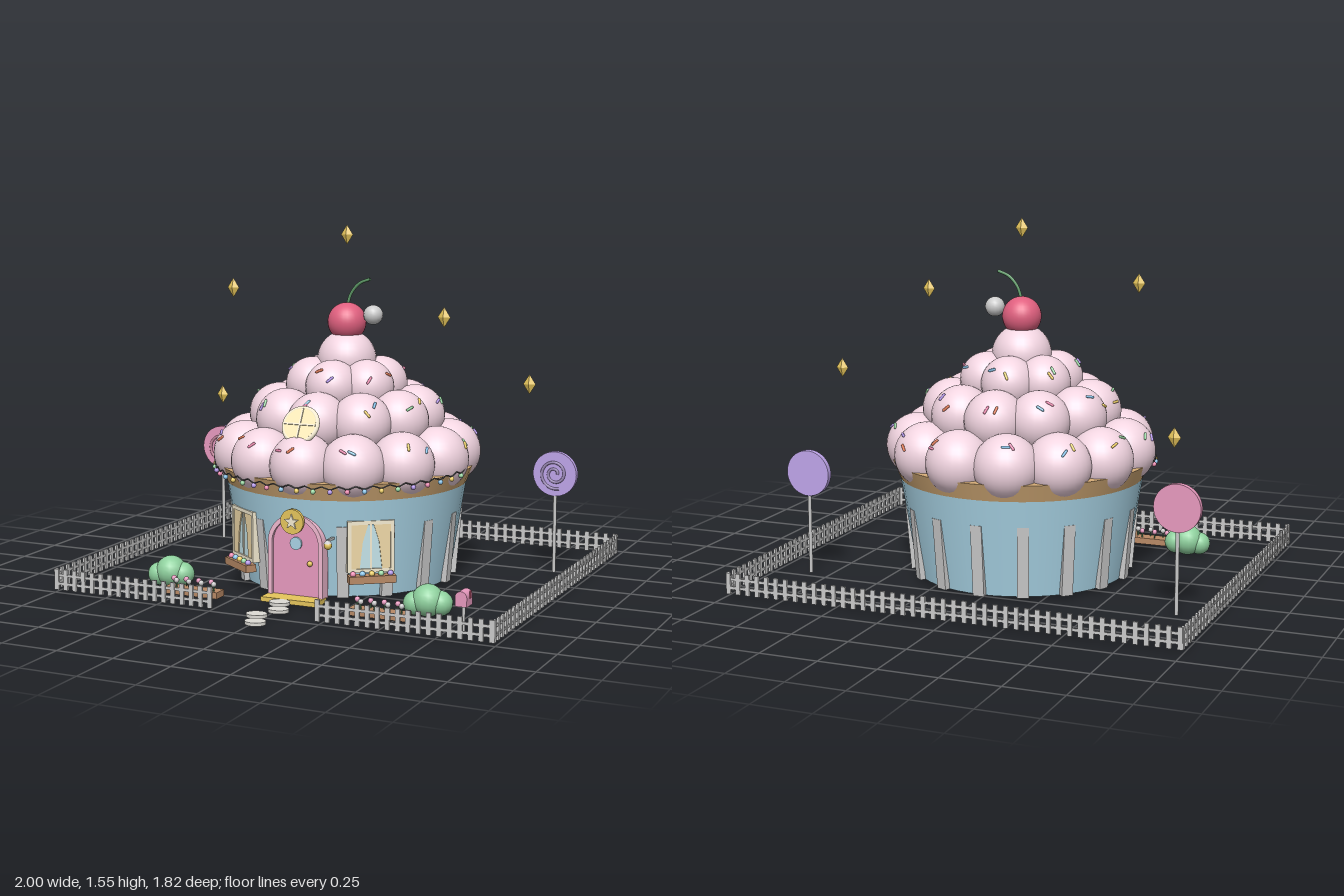
import * as THREE from 'three';

const CZ = -0.07; // the house axis sits slightly behind the centre
const mats = {};
const mat = (c) => (mats[c] ??= new THREE.MeshStandardMaterial({ color: c, side: THREE.DoubleSide }));
const C = { grey: 0xcccccc, wall: 0xa9d4e6, frost: 0xf2d5e1, biscuit: 0xd6ad78, pink: 0xe89abf, red: 0xe0607f,
  green: 0x8fd19e, stem: 0x5f9a68, gold: 0xe6c55c, cream: 0xf5ecd2, wood: 0xb98a66, lilac: 0xbfa5ea, stone: 0xdedcd6 };
const SWEETS = [0xf28fb5, 0x8fc9f0, 0xf3d36b, 0x9fdca8, 0xb99cf0, 0xe8825f];

function add(parent, name, geo, color, x = 0, y = 0, z = 0) {
  const m = new THREE.Mesh(geo, mat(color));
  m.name = name;
  m.position.set(x, y, z);
  parent.add(m);
  return m;
}
function group(parent, name, x = 0, y = 0, z = 0, ry = 0) {
  const g = new THREE.Group();
  g.name = name;
  g.position.set(x, y, z);
  g.rotation.y = ry;
  parent.add(g);
  return g;
}
// group on the round wall, facing outwards
const onWall = (p, name, a, r, y) => group(p, name, Math.sin(a) * r, y, CZ + Math.cos(a) * r, a);
const box = (w, h, d) => new THREE.BoxGeometry(w, h, d);
const ball = (r, n = 16) => new THREE.SphereGeometry(r, n, Math.ceil(n * 0.7));
const cyl = (a, b, h, n = 16) => new THREE.CylinderGeometry(a, b, h, n);
const disc = (r, h, n = 32) => cyl(r, r, h, n).rotateX(Math.PI / 2);
const extrude = (s, d) => new THREE.ExtrudeGeometry(s, { depth: d, bevelEnabled: false, curveSegments: 16 });
const tube = (pts, r, n = 24) => new THREE.TubeGeometry(new THREE.CatmullRomCurve3(pts), n, r, 8);

let seed = 11;
const rand = () => (seed = (seed * 16807) % 2147483647) / 2147483647;

function arch(w, h) { // arched outline, base at y = 0
  const s = new THREE.Shape();
  s.moveTo(-w, 0);
  s.lineTo(w, 0);
  s.lineTo(w, h - w);
  s.absarc(0, h - w, w, 0, Math.PI, false);
  s.closePath();
  return s;
}

function buildBody(root) {
  const g = group(root, 'cupcakeBody');
  add(g, 'wall', cyl(0.53, 0.46, 0.43, 48), C.wall, 0, 0.235, CZ);
  add(g, 'biscuitRim', cyl(0.56, 0.53, 0.075, 48), C.biscuit, 0, 0.48, CZ);
  for (let i = 1; i < 16; i++) {
    const pleat = onWall(g, 'pleat', (i * Math.PI) / 8, 0.486, 0.175);
    add(pleat, 'pleatStrip', box(0.05, 0.31, 0.024), C.grey).rotation.x = 0.085;
  }
}

function buildFrosting(root) {
  const g = group(root, 'frosting', 0, 0, CZ);
  add(g, 'frostingCore', cyl(0.12, 0.44, 0.42, 24), C.frost, 0, 0.72);
  // [count, ring radius, height, ball radius, turn]
  const rings = [[13, 0.45, 0.57, 0.14, 0], [10, 0.3, 0.73, 0.132, 0], [6, 0.15, 0.865, 0.118, 0], [1, 0, 0.97, 0.13, 0]];
  const balls = [];
  for (const [n, R, y, r, t] of rings) for (let i = 0; i < n; i++) {
    const a = t + (i * 2 * Math.PI) / n;
    balls.push([add(g, 'frostingPuff', ball(r, 28), C.frost, Math.sin(a) * R, y, Math.cos(a) * R).position, r, a]);
  }
  // sprinkles lying on the puffs
  for (let i = 0; i < 58; i++) {
    const [p, r, a] = balls[i % 29];
    const b = a + (rand() - 0.5) * 1.1, e = 0.35 + rand() * 0.5;
    const n = new THREE.Vector3(Math.sin(b) * Math.cos(e), Math.sin(e), Math.cos(b) * Math.cos(e));
    const s = add(g, 'sprinkle', new THREE.CapsuleGeometry(0.006, 0.026, 3, 6), SWEETS[i % 6]);
    s.position.copy(p).addScaledVector(n, r + 0.002);
    const along = new THREE.Vector3(rand() - 0.5, rand() - 0.5, rand() - 0.5).cross(n).normalize();
    s.quaternion.setFromUnitVectors(new THREE.Vector3(0, 1, 0), along);
  }
  // cherry on top
  add(g, 'cherry', ball(0.085, 28), C.red, 0, 1.135);
  add(g, 'cherryStem', tube([[0, 1.2], [0.02, 1.26], [0.06, 1.305], [0.11, 1.325]].map(([x, y]) => new THREE.Vector3(x, y, 0)), 0.007), C.stem);
  add(g, 'smokePuff', ball(0.043), C.grey, 0.125, 1.17);
  // round attic window
  const w = group(g, 'atticWindow', 0, 0.745, 0.465);
  w.rotation.x = -0.5;
  add(w, 'atticPane', disc(0.072, 0.02), 0xf7e9b5);
  add(w, 'atticFrame', new THREE.TorusGeometry(0.075, 0.011, 8, 32), C.cream);
  add(w, 'atticBar', box(0.145, 0.007, 0.03), C.cream);
  add(w, 'atticBar', box(0.007, 0.145, 0.03), C.cream);
}

function buildLights(root) {
  const g = group(root, 'stringLights', 0, 0, CZ);
  const at = (t) => {
    const a = (t - 0.5) * 2.95;
    return new THREE.Vector3(Math.sin(a) * 0.582, 0.505 + 0.025 * (2 * t - 1) ** 2 + 0.006 * Math.cos(t * 48 * Math.PI), Math.cos(a) * 0.582);
  };
  add(g, 'lightWire', tube(Array.from({ length: 97 }, (_, i) => at(i / 96)), 0.003, 120), 0x555555);
  for (let i = 0; i < 24; i++) {
    const p = at((i + 0.5) / 24);
    add(g, 'lightBulb', ball(0.011, 10), SWEETS[i % 5], p.x, p.y - 0.01, p.z);
  }
}

function buildDoor(root) {
  const g = group(root, 'entrance', 0, 0.02, 0.4);
  const frame = arch(0.127, 0.355);
  frame.holes.push(arch(0.108, 0.335));
  add(g, 'doorFrame', extrude(frame, 0.055), 0xf0b9d0);
  add(g, 'door', extrude(arch(0.112, 0.338), 0.04), C.pink);
  add(g, 'doorWindow', disc(0.027, 0.014), C.wall, 0, 0.23, 0.042);
  add(g, 'doorKnob', ball(0.012, 12), C.gold, 0.068, 0.15, 0.052);
  add(g, 'doorstep', box(0.26, 0.02, 0.1), C.gold, 0, -0.005, 0.07);
  // round sign with a star
  add(g, 'signDisc', disc(0.053, 0.016), C.gold, 0, 0.33, 0.077);
  add(g, 'signArm', box(0.015, 0.015, 0.06), C.wood, 0, 0.33, 0.045);
  const star = new THREE.Shape(Array.from({ length: 10 }, (_, i) => {
    const r = i % 2 ? 0.014 : 0.034, a = (i * Math.PI) / 5;
    return new THREE.Vector2(Math.sin(a) * r, Math.cos(a) * r);
  }));
  add(g, 'signStar', extrude(star, 0.008), C.cream, 0, 0.33, 0.084);
  // lantern beside the door
  add(g, 'lanternArm', box(0.01, 0.01, 0.06), C.grey, 0.155, 0.26, 0.035);
  add(g, 'lantern', ball(0.017, 12), C.gold, 0.155, 0.238, 0.06);
  add(g, 'lanternCap', new THREE.ConeGeometry(0.018, 0.02, 10), C.grey, 0.155, 0.258, 0.06);
}

function buildWindow(root, side) {
  const g = onWall(root, 'window', side * 0.625, 0.5, 0.245);
  add(g, 'windowPane', box(0.18, 0.2, 0.02), 0xc4e4ea);
  for (const s of [-1, 1]) {
    add(g, 'frameSide', box(0.016, 0.22, 0.036), C.cream, s * 0.092, 0, 0);
    add(g, 'frameBar', box(0.2, 0.016, 0.036), C.cream, 0, s * 0.102, 0);
    const curtain = new THREE.Shape([[0.086, 0.095], [0.012, 0.095], [0.035, 0.02], [0.048, -0.095], [0.086, -0.095]].map(([x, y]) => new THREE.Vector2(s * x, y)));
    add(g, 'curtain', extrude(curtain, 0.006), 0xf0d9a8, 0, 0, 0.009);
  }
  add(g, 'mullion', box(0.008, 0.2, 0.03), C.cream);
  add(g, 'flowerBox', box(0.2, 0.032, 0.05), C.wood, 0, -0.134, 0.028);
  for (let i = 0; i < 5; i++) add(g, 'boxFlower', ball(0.013, 10), SWEETS[i], (i - 2) * 0.04, -0.112, 0.032);
}

function buildFence(root) {
  const g = group(root, 'fence');
  const run = (x0, z0, x1, z1) => {
    const len = Math.hypot(x1 - x0, z1 - z0), n = Math.round(len / 0.045);
    const f = group(g, 'fenceRun', (x0 + x1) / 2, 0, (z0 + z1) / 2, Math.atan2(z0 - z1, x1 - x0));
    for (const y of [0.045, 0.082]) add(f, 'fenceRail', box(len, 0.012, 0.006), C.grey, 0, y, 0);
    for (let i = 0; i <= n; i++) add(f, 'fencePicket', box(0.02, 0.09, 0.01), C.grey, (i / n - 0.5) * (len - 0.02), 0.063, 0);
  };
  run(-0.997, -0.905, 0.997, -0.905);
  for (const s of [-1, 1]) {
    run(s * 0.995, -0.905, s * 0.995, 0.755);
    run(s * 0.235, 0.752, s * 0.997, 0.752);
  }
}

function buildLollipop(root, x, color, swirl) {
  const g = group(root, 'lollipop', x, 0, -0.467);
  add(g, 'lollipopStick', cyl(0.008, 0.008, 0.38, 10), C.grey, 0, 0.2, 0);
  add(g, 'lollipopDisc', disc(0.1, 0.026, 40), color, 0, 0.457, 0);
  const pts = Array.from({ length: 40 }, (_, i) => {
    const a = (i / 39) * Math.PI * 3.6, r = 0.014 + (0.054 * i) / 39;
    return new THREE.Vector3(Math.cos(a) * r, 0.457 + Math.sin(a) * r, 0.014);
  });
  add(g, 'lollipopSwirl', tube(pts, 0.0065, 80), swirl);
}

function buildGarden(root) {
  for (const s of [-1, 1]) {
    const bush = group(root, 'bush', s * 0.6, 0, 0.45);
    add(bush, 'bushMiddle', ball(0.068), C.green, 0, 0.072, 0);
    add(bush, 'bushLeft', ball(0.05), C.green, -0.052, 0.058, 0.012);
    add(bush, 'bushRight', ball(0.052), C.green, 0.05, 0.062, -0.012);
    const bed = group(root, 'flowerBed', s * 0.43, 0, 0.555);
    add(bed, 'bedBox', box(0.255, 0.028, 0.068), C.wood, 0, 0.024, 0);
    for (let i = 0; i < 8; i++) {
      const x = (i - 3.5) * 0.03, z = i % 2 ? 0.016 : -0.016;
      add(bed, 'flowerStem', cyl(0.003, 0.003, 0.03, 6), C.stem, x, 0.05, z);
      add(bed, 'flowerHead', ball(0.012, 10), [C.pink, C.grey][i % 2], x, 0.068, z);
    }
  }
  // stepping stones
  [[-0.022, 0.557], [0.025, 0.662], [-0.022, 0.765], [0.025, 0.868]].forEach(([x, z]) => {
    add(root, 'steppingStone', cyl(0.045, 0.045, 0.014, 20), C.stone, x, 0.018, z).scale.z = 0.85;
  });
  // letter box on a post
  const m = group(root, 'mailbox', 0.822, 0, 0.625);
  add(m, 'mailboxPost', cyl(0.007, 0.007, 0.12, 8), C.grey, 0, 0.07, 0);
  add(m, 'mailboxBody', extrude(arch(0.025, 0.062), 0.065), C.pink, 0, 0.118, -0.0325);
  add(m, 'mailboxFlag', box(0.004, 0.03, 0.012), C.red, 0.028, 0.165, 0);
}

export function createModel() {
  const root = new THREE.Group();
  root.name = 'cupcakeHouse';
  buildBody(root);
  buildFrosting(root);
  buildLights(root);
  buildDoor(root);
  for (const s of [-1, 1]) buildWindow(root, s);
  buildFence(root);
  buildLollipop(root, -0.835, C.pink, 0xc9879f);
  buildLollipop(root, 0.835, C.lilac, 0x9d8bb8);
  buildGarden(root);
  // floating sparkles
  [[0, 1.515, -0.07], [-0.475, 1.28, 0.09], [0.55, 1.2, 0.17], [0.79, 0.885, -0.225], [-0.79, 0.725, -0.385]].forEach((p) => {
    const s = add(root, 'sparkle', new THREE.OctahedronGeometry(0.043), C.gold, ...p);
    s.scale.set(0.66, 1, 0.33);
  });
  return root;
}
